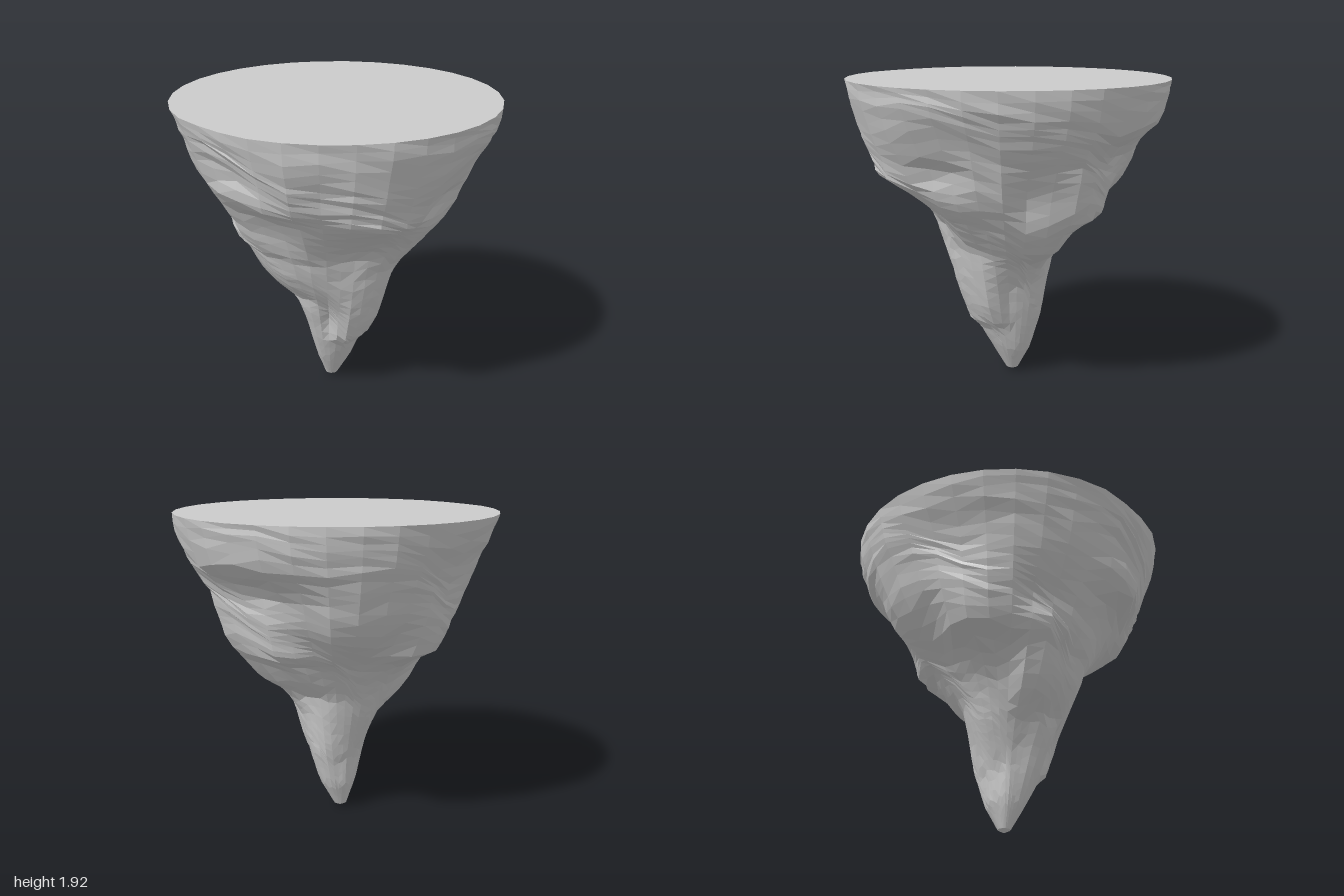
import * as THREE from 'three';

const SEGMENTS = 32, RINGS = 40, TOP = 1.925;

// Cross-sections below the rim: height, then radius at every 45 degrees
// starting at +x and turning towards +z.
const SECTIONS = [
  [1.80, .975, .98, .98, .95, .95, .98, .98, .98],
  [1.64, .89, .94, .93, .89, .85, .92, .92, .92],
  [1.58, .86, .92, .91, .87, .82, .89, .79, .89],
  [1.47, .81, .87, .87, .82, .79, .84, .70, .83],
  [1.37, .77, .83, .71, .77, .77, .80, .69, .79],
  [1.25, .69, .67, .63, .69, .74, .72, .66, .73],
  [1.09, .57, .47, .56, .62, .66, .51, .61, .66],
  [1.03, .53, .43, .52, .55, .47, .43, .48, .62],
  [0.90, .42, .41, .47, .49, .35, .34, .37, .51],
  [0.80, .40, .40, .41, .42, .30, .28, .27, .34],
  [0.65, .36, .37, .32, .25, .24, .23, .24, .25],
  [0.50, .32, .32, .26, .18, .17, .18, .22, .22],
  [0.39, .26, .28, .22, .15, .12, .15, .20, .19],
  [0.34, .20, .22, .20, .14, .11, .13, .18, .18],
  [0.18, .13, .13, .13, .10, .09, .11, .13, .13],
  [0.02, .04, .04, .04, .04, .04, .04, .04, .04],
];
SECTIONS.unshift([TOP, ...Array(8).fill(1)]);

// Local hollows (negative) and lobes (positive):
// angle, height, angular spread, vertical spread, amount
const DENTS = [
  [108, 1.92, 10, .20, -.02], [103, 1.66, 14, .14, -.05],
  [68, 1.55, 9, .18, -.04], [142, 1.30, 10, .12, -.08],
  [8, 1.42, 12, .09, -.07], [8, 1.20, 11, .10, .03],
  [342, 1.25, 11, .15, .03], [38, 1.34, 11, .08, .03],
  [322, 1.32, 9, .20, -.08], [302, 1.20, 10, .14, .03],
  [252, 1.20, 9, .18, -.07], [203, 1.22, 9, .16, -.06],
  [65, 0.55, 10, .15, -.06], [95, 0.70, 15, .05, -.03],
  [340, 0.55, 12, .20, -.04], [160, 0.85, 10, .15, -.04],
];

const noise = (i, j) => {
  const s = Math.sin(i * 127.1 + j * 311.7) * 43758.5453;
  return s - Math.floor(s) - 0.5;
};

// Radius between two neighbouring columns of a section, eased
function sectionRadius(section, angle) {
  const a = angle / 45, k = Math.floor(a) % 8, f = a - Math.floor(a);
  return THREE.MathUtils.lerp(section[1 + k], section[1 + (k + 1) % 8], f * f * (3 - 2 * f));
}

// Rock radius in any direction and at any height
function radiusAt(angle, y) {
  const k = Math.max(1, SECTIONS.findIndex(s => s[0] <= y));
  const upper = SECTIONS[k - 1], lower = SECTIONS[k];
  const f = (upper[0] - y) / (upper[0] - lower[0]);
  const base = THREE.MathUtils.lerp(sectionRadius(upper, angle), sectionRadius(lower, angle), f);
  return DENTS.reduce((r, [a, h, sa, sh, amount]) => {
    const da = ((angle - a + 540) % 360 - 180) / sa, dy = (y - h) / sh;
    return r + amount * Math.exp(-da * da - dy * dy);
  }, base);
}

function rockGeometry() {
  const positions = [], index = [];
  const bottom = SECTIONS[SECTIONS.length - 1][0], step = (TOP - bottom) / (RINGS - 1);
  for (let j = 0; j < RINGS; j++) {
    // rings wander up and down, except at the rim and the tip
    const sway = step * 1.2 * Math.min(1, j / 4, (RINGS - 1 - j) / 4);
    for (let i = 0; i < SEGMENTS; i++) {
      const angle = i * 360 / SEGMENTS, t = THREE.MathUtils.degToRad(angle);
      const wave = Math.sin(3 * t + j * 0.35) + 0.6 * Math.sin(7 * t + j * 0.2) + 0.3 * noise(i, j);
      const y = TOP - j * step + sway * wave;
      const r = radiusAt(angle, y) * (1 + 0.015 * noise(i + 50, j) * Math.min(1, j));
      // the axis leans slightly towards the tip
      const lean = 1 - y / TOP;
      positions.push(r * Math.cos(t) - 0.04 * lean, y, r * Math.sin(t) - 0.01 * lean);
    }
  }
  const at = (i, j) => j * SEGMENTS + i % SEGMENTS;
  const tip = positions.length / 3;
  positions.push(-0.04, 0, -0.01);
  for (let i = 0; i < SEGMENTS; i++) {
    for (let j = 0; j < RINGS - 1; j++) {
      const a = at(i, j), b = at(i + 1, j), c = at(i, j + 1), d = at(i + 1, j + 1);
      index.push(a, b, c, b, d, c);
    }
    index.push(at(i, RINGS - 1), at(i + 1, RINGS - 1), tip);
  }
  return meshGeometry(positions, index);
}

// Flat lid through the vertices of the rim ring
function lidGeometry(rock) {
  const p = rock.attributes.position, positions = [0, TOP, 0], index = [];
  for (let i = 0; i < SEGMENTS; i++) {
    positions.push(p.getX(i), TOP, p.getZ(i));
    index.push(0, 1 + (i + 1) % SEGMENTS, 1 + i);
  }
  return meshGeometry(positions, index);
}

function meshGeometry(positions, index) {
  const geometry = new THREE.BufferGeometry();
  geometry.setAttribute('position', new THREE.Float32BufferAttribute(positions, 3));
  geometry.setIndex(index);
  geometry.computeVertexNormals();
  return geometry;
}

export function createModel() {
  const group = new THREE.Group();
  group.name = 'floatingIsland';
  const material = new THREE.MeshStandardMaterial({ color: 0xcccccc, flatShading: true });

  // Craggy underside tapering to a point
  const rock = new THREE.Mesh(rockGeometry(), material);
  rock.name = 'rockUnderside';

  // Flat round top
  const lid = new THREE.Mesh(lidGeometry(rock.geometry), material);
  lid.name = 'flatTop';

  group.add(rock, lid);
  return group;
}
